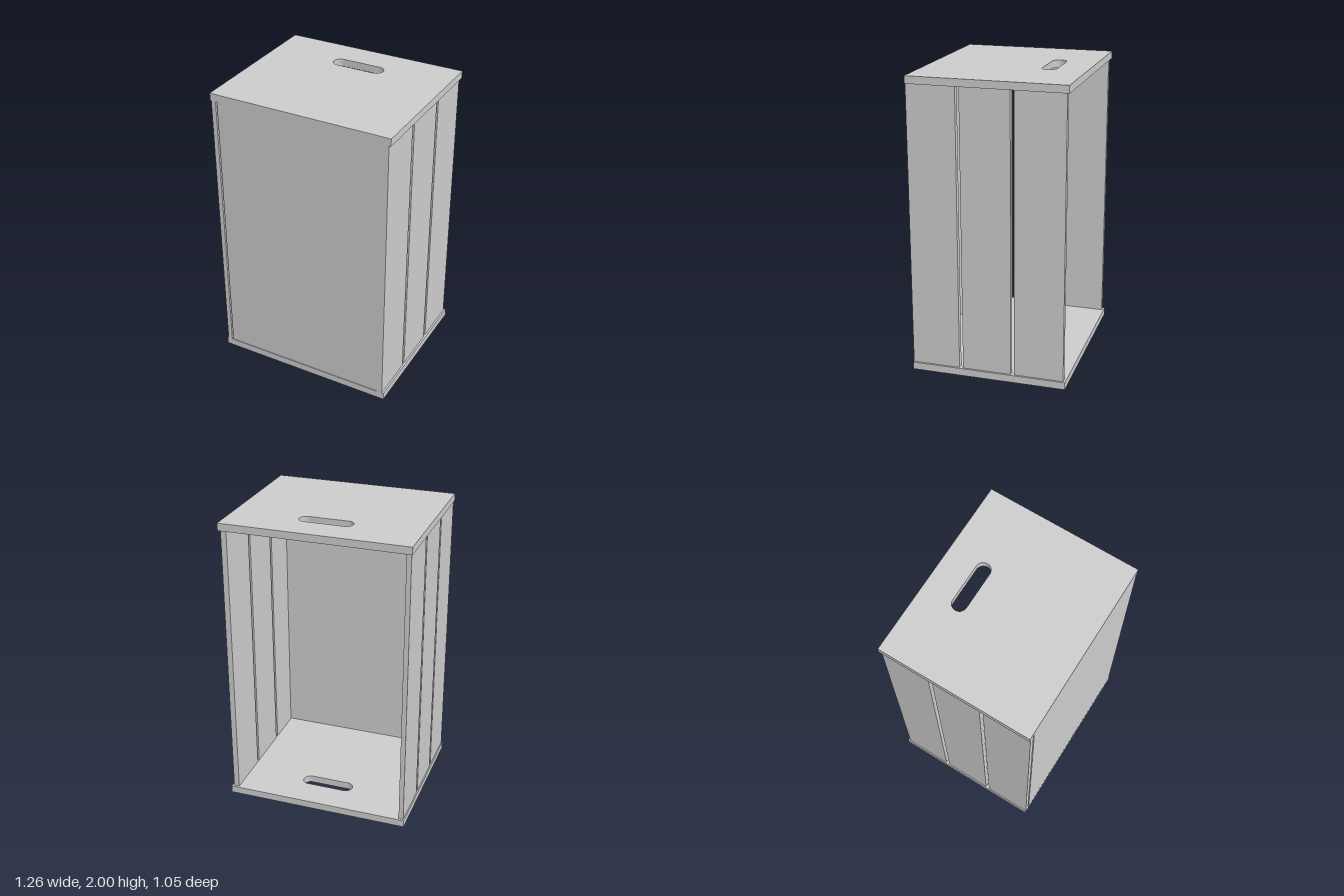
import * as THREE from 'three';

const W = 1.256, D = 1.05, H = 2, T = 0.05;

export function createModel() {
  const group = new THREE.Group();
  const material = new THREE.MeshStandardMaterial({ color: 0xcccccc });

  const add = (name, geometry) => {
    const mesh = new THREE.Mesh(geometry, material);
    mesh.name = name;
    group.add(mesh);
    return mesh;
  };

  // Box given by its low and high corners
  const addBox = (name, [x0, y0, z0], [x1, y1, z1]) => {
    const mesh = add(name, new THREE.BoxGeometry(x1 - x0, y1 - y0, z1 - z0));
    mesh.position.set((x0 + x1) / 2, (y0 + y1) / 2, (z0 + z1) / 2);
  };

  // End boards with a rounded hand slot near the back
  const board = new THREE.Shape();
  board.moveTo(-W / 2, -D / 2);
  board.lineTo(W / 2, -D / 2);
  board.lineTo(W / 2, D / 2);
  board.lineTo(-W / 2, D / 2);
  board.closePath();

  const r = 0.049, slotX = 0.18 - r, slotY = 0.272;
  const slot = new THREE.Path();
  slot.absarc(slotX, slotY, r, Math.PI / 2, -Math.PI / 2, true);
  slot.absarc(-slotX, slotY, r, -Math.PI / 2, -Math.PI * 1.5, true);
  slot.closePath();
  board.holes.push(slot);

  const boardGeometry = new THREE.ExtrudeGeometry(board, {
    depth: T, bevelEnabled: false, curveSegments: 16,
  }).rotateX(-Math.PI / 2);
  add('bottomBoard', boardGeometry);
  add('topBoard', boardGeometry).position.y = H - T;

  // Three upright slats on each side, with narrow gaps between them
  const slatSpans = [[0.2, 0.525], [-0.155, 0.175], [-0.51, -0.18]];
  slatSpans.forEach(([z0, z1], i) => {
    addBox(`leftSlat${i + 1}`, [0.577, T, z0], [0.615, H - T, z1]);
    addBox(`rightSlat${i + 1}`, [-0.62, T, z0], [-0.588, H - T, z1]);
  });

  // Front panel; the back stays open
  addBox('frontPanel', [-0.578, 0.055, 0.475], [0.577, H - T, 0.525]);

  return group;
}
